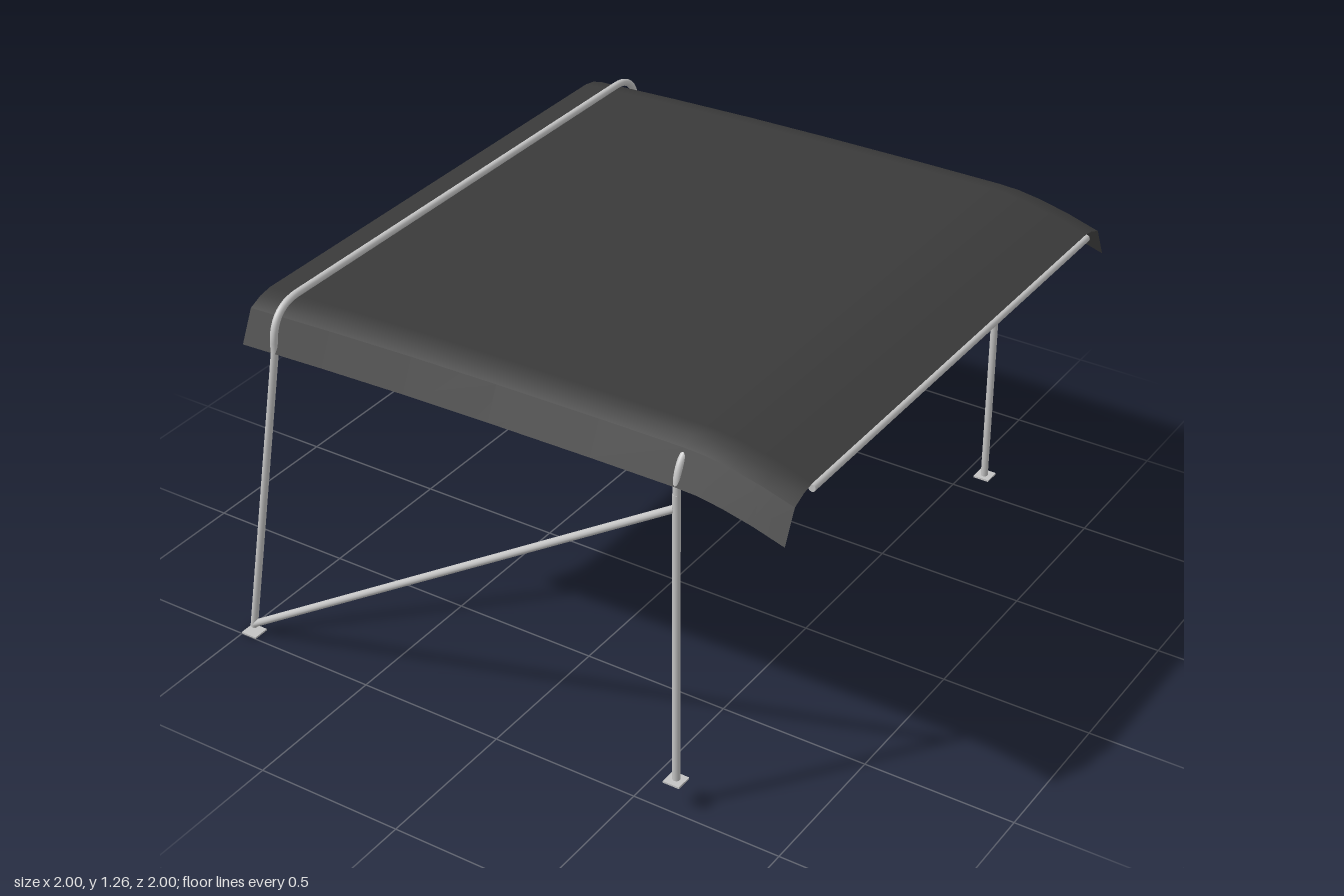
import * as THREE from 'three';

const V = (x, y, z) => new THREE.Vector3(x, y, z);
const R = 0.012; // tube radius

// Grid surface swept along x: lengthwise profile [x, y], cross-section [z, drop]
function sweep(profile, section) {
  const pos = [], index = [], n = section.length;
  for (const [x, y] of profile) for (const [z, d] of section) pos.push(x, y + d, z);
  for (let i = 0; i < profile.length - 1; i++) {
    for (let j = 0; j < n - 1; j++) {
      const a = i * n + j, b = a + 1, c = a + n, d = c + 1;
      index.push(a, b, c, b, d, c);
    }
  }
  const g = new THREE.BufferGeometry();
  g.setAttribute('position', new THREE.Float32BufferAttribute(pos, 3));
  g.setIndex(index);
  g.computeVertexNormals();
  return g;
}

// Straight tube between two points
function rod(a, b, material, name) {
  const mesh = new THREE.Mesh(new THREE.CylinderGeometry(R, R, a.distanceTo(b), 12), material);
  mesh.position.copy(a).add(b).multiplyScalar(0.5);
  mesh.quaternion.setFromUnitVectors(V(0, 1, 0), b.clone().sub(a).normalize());
  mesh.name = name;
  return mesh;
}

// Bent top tube reaching from one side, over the roof, to the other
function bow(x, yLow, yTop, zSide, zFlat, material, name) {
  const path = new THREE.CurvePath();
  const yBend = yTop - 0.11;
  path.add(new THREE.LineCurve3(V(x, yLow, zSide), V(x, yBend, zSide)));
  path.add(new THREE.QuadraticBezierCurve3(V(x, yBend, zSide), V(x, yTop, zSide - 0.01), V(x, yTop, zFlat)));
  path.add(new THREE.LineCurve3(V(x, yTop, zFlat), V(x, yTop, -zFlat)));
  path.add(new THREE.QuadraticBezierCurve3(V(x, yTop, -zFlat), V(x, yTop, -zSide + 0.01), V(x, yBend, -zSide)));
  path.add(new THREE.LineCurve3(V(x, yBend, -zSide), V(x, yLow, -zSide)));
  const mesh = new THREE.Mesh(new THREE.TubeGeometry(path, 130, R, 12), material);
  mesh.name = name;
  return mesh;
}

export function createModel() {
  const group = new THREE.Group();
  const fabric = new THREE.MeshStandardMaterial({ color: 0x3a3a3a, side: THREE.DoubleSide });
  fabric.name = 'dark fabric';
  const metal = new THREE.MeshStandardMaterial({ color: 0xc4c4c4 });
  metal.name = 'light grey metal';
  const add = (geometry, material, name) => {
    const mesh = new THREE.Mesh(geometry, material);
    mesh.name = name;
    group.add(mesh);
    return mesh;
  };

  // Fabric roof with a soft shoulder, and a flat side skirt beyond the crease
  const profile = [
    [-0.9, 1.224], [-0.6, 1.237], [-0.3, 1.247], [0, 1.253], [0.35, 1.257],
    [0.63, 1.258], [0.7, 1.255], [0.78, 1.243], [0.88, 1.22], [0.983, 1.189],
  ];
  const mirror = (section) => section.map(([z, d]) => [-z, d]).reverse();
  const shoulder = [[0.84, 0], [0.885, -0.008], [0.932, -0.028]];
  const skirt = [[0.932, -0.028], [0.981, -0.13]];
  add(sweep(profile, [...mirror(shoulder), ...shoulder]), fabric, 'canopyTop');
  add(sweep(profile, skirt), fabric, 'frontSkirt');
  add(sweep(profile, mirror(skirt)), fabric, 'backSkirt');

  // Bows: one over the fabric, one beneath it
  group.add(bow(-0.785, 1.1, 1.244, 0.972, 0.85, metal, 'outerBow'));
  group.add(bow(0.63, 1.1, 1.234, 0.969, 0.85, metal, 'innerBow'));

  // Bar along the lowered edge of the roof
  group.add(rod(V(0.984, 1.176, -0.845), V(0.984, 1.176, 0.845), metal, 'edgeBar'));

  // Legs, diagonal braces and mounting plates on both sides
  const plate = new THREE.BoxGeometry(0.056, 0.006, 0.056);
  for (const s of [1, -1]) {
    const z = 0.97 * s;
    group.add(rod(V(-0.972, 0.025, z), V(-0.785, 1.105, z), metal, 'slantedLeg'));
    group.add(rod(V(0.63, 0.1, z), V(0.63, 1.1, z), metal, 'uprightLeg'));
    group.add(rod(V(-0.968, 0.035, z), V(0.625, 1.05, z), metal, 'diagonalBrace'));
    add(plate, metal, 'lowerFootPlate').position.set(-0.972, 0.004, 0.972 * s);
    add(plate, metal, 'upperFootPlate').position.set(0.63, 0.1, 0.972 * s);
  }
  return group;
}
